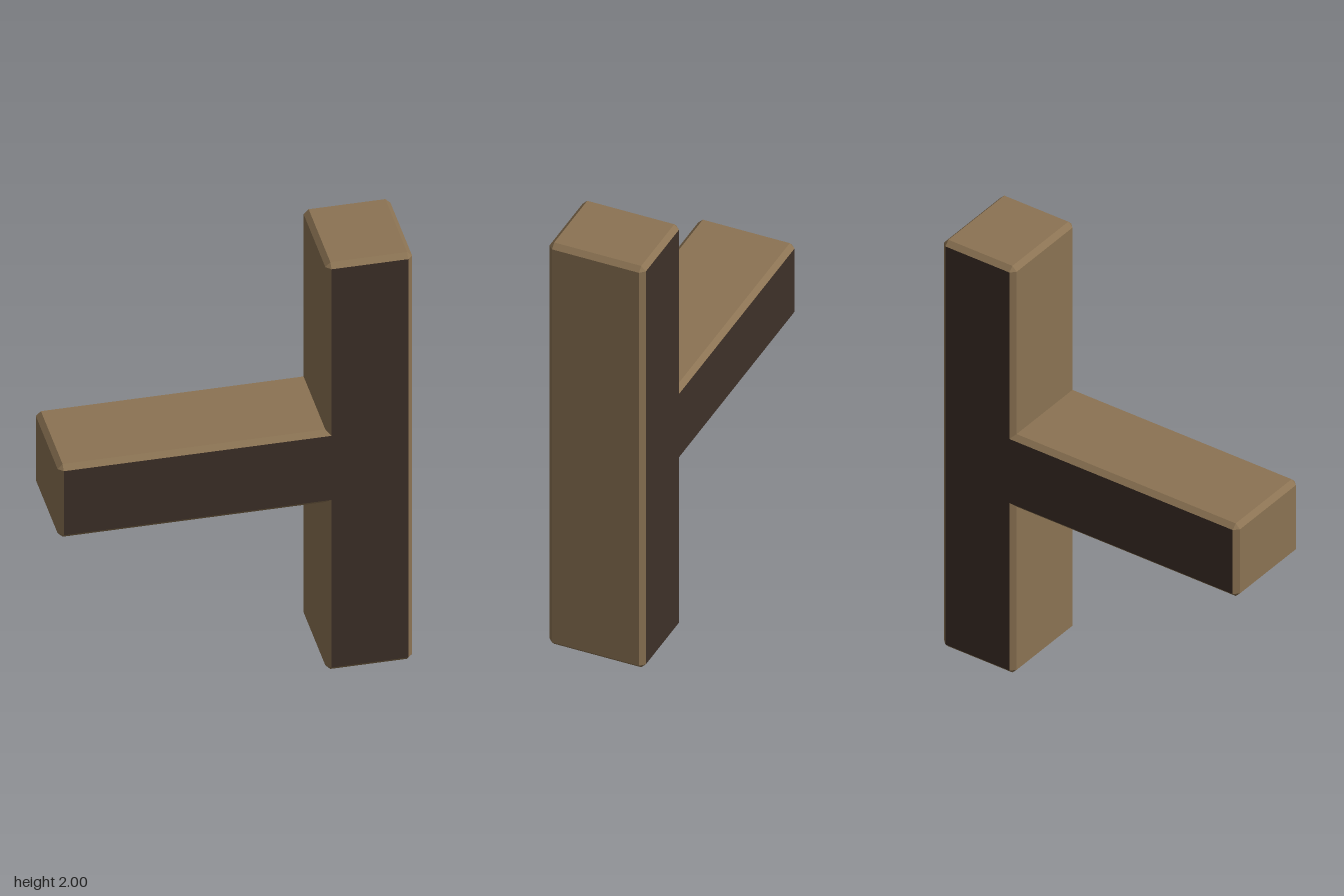
import * as THREE from 'three';

const C = 0.021;          // chamfer width
const D = 0.215;          // half depth
const M = D - C;          // depth where the chamfer meets the side
const X = 0.737, POST = 0.376, LOW = 0.824, HIGH = 1.181;

// Counter-clockwise outline of the flat face, already inset by the chamfer
const outline = [
  [POST + C, C], [X - C, C], [X - C, 2 - C], [POST + C, 2 - C],
  [POST + C, HIGH - C], [-X + C, HIGH - C], [-X + C, LOW + C], [POST + C, LOW + C],
].map(([x, y]) => new THREE.Vector2(x, y));

// Side walls, chamfers and corner cuts around the outline
function rimGeometry() {
  const n = outline.length;
  const next = (i) => (i + 1) % n;
  const normals = outline.map((p, i) => {
    const d = outline[next(i)].clone().sub(p).normalize();
    return new THREE.Vector2(d.y, -d.x).multiplyScalar(C);
  });
  // Each corner has an arriving and a leaving point; inner corners share one
  const corners = outline.map((p, i) => {
    const a = normals[(i + n - 1) % n], b = normals[i];
    const convex = a.cross(b) > 0;
    if (convex) return { convex, a: p.clone().add(a), b: p.clone().add(b) };
    const m = p.clone().add(a).add(b);
    return { convex, a: m, b: m };
  });

  const positions = [];
  const tri = (...points) => points.forEach(([p, z]) => positions.push(p.x, p.y, z));
  const quad = (a, b, c, d) => { tri(a, b, c); tri(a, c, d); };

  outline.forEach((p, i) => {
    const q = outline[next(i)];
    const { convex, a, b } = corners[i];
    const e = corners[next(i)].a;
    quad([p, D], [b, M], [e, M], [q, D]);
    quad([b, M], [b, -M], [e, -M], [e, M]);
    quad([b, -M], [p, -D], [q, -D], [e, -M]);
    if (convex) {
      quad([a, M], [a, -M], [b, -M], [b, M]);
      tri([p, D], [a, M], [b, M]);
      tri([p, -D], [b, -M], [a, -M]);
    }
  });

  const geometry = new THREE.BufferGeometry();
  geometry.setAttribute('position', new THREE.Float32BufferAttribute(positions, 3));
  geometry.computeVertexNormals();
  return geometry;
}

export function createModel() {
  const group = new THREE.Group();
  group.name = 'chamferedTee';
  const tan = new THREE.MeshStandardMaterial({ color: 0x8b7353 });
  const dark = new THREE.MeshStandardMaterial({ color: 0x3e3028 });

  const add = (name, geometry, material) => {
    const mesh = new THREE.Mesh(geometry, material);
    mesh.name = name;
    group.add(mesh);
    return mesh;
  };

  add('rim', rimGeometry(), tan);

  // Dark flat faces
  const front = new THREE.ShapeGeometry(new THREE.Shape(outline));
  add('frontFace', front.translate(0, 0, D), dark);
  const mirrored = outline.map((p) => new THREE.Vector2(-p.x, p.y)).reverse();
  const back = new THREE.ShapeGeometry(new THREE.Shape(mirrored));
  add('backFace', back.rotateY(Math.PI).translate(0, 0, -D), dark);

  return group;
}
